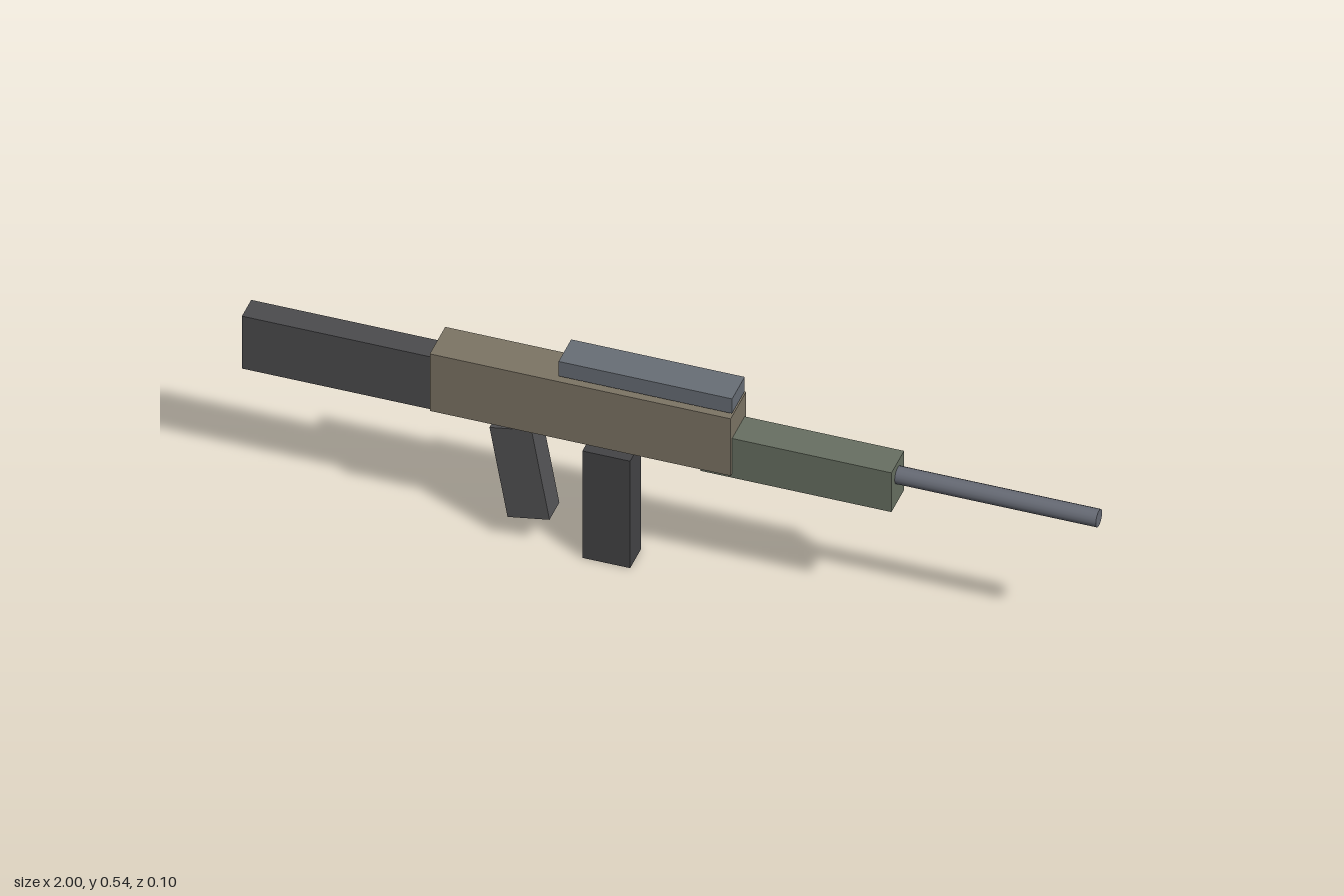
import * as THREE from 'three';

export function createModel() {
  const model = new THREE.Group();

  const add = (name, geometry, color, x, y, tilt = 0) => {
    const mesh = new THREE.Mesh(geometry, new THREE.MeshStandardMaterial({ color }));
    mesh.name = name;
    mesh.position.set(x, y, 0);
    mesh.rotation.z = tilt;
    model.add(mesh);
  };

  // Block given by its x and y limits and its full depth in z
  const block = (name, color, x0, x1, y0, y1, depth) =>
    add(name, new THREE.BoxGeometry(x1 - x0, y1 - y0, depth), color, (x0 + x1) / 2, (y0 + y1) / 2);

  block('stock', 0x4c4c4e, -1, -0.552, 0.32, 0.467, 0.062);
  block('receiver', 0x7d7565, -0.552, 0.154, 0.332, 0.492, 0.103);
  block('handguard', 0x687062, 0.08, 0.528, 0.32, 0.43, 0.084);
  block('topRail', 0x686e76, -0.253, 0.154, 0.5, 0.541, 0.084);
  block('magazine', 0x444446, -0.199, -0.087, 0, 0.3, 0.074);

  // Slanted grip
  add('grip', new THREE.BoxGeometry(0.1, 0.244, 0.066), 0x525254, -0.348, 0.195, THREE.MathUtils.degToRad(10));

  // Barrel lies along x
  const barrel = new THREE.CylinderGeometry(0.021, 0.021, 0.472, 16).rotateZ(-Math.PI / 2);
  add('barrel', barrel, 0x666a74, 0.764, 0.394);

  return model;
}
